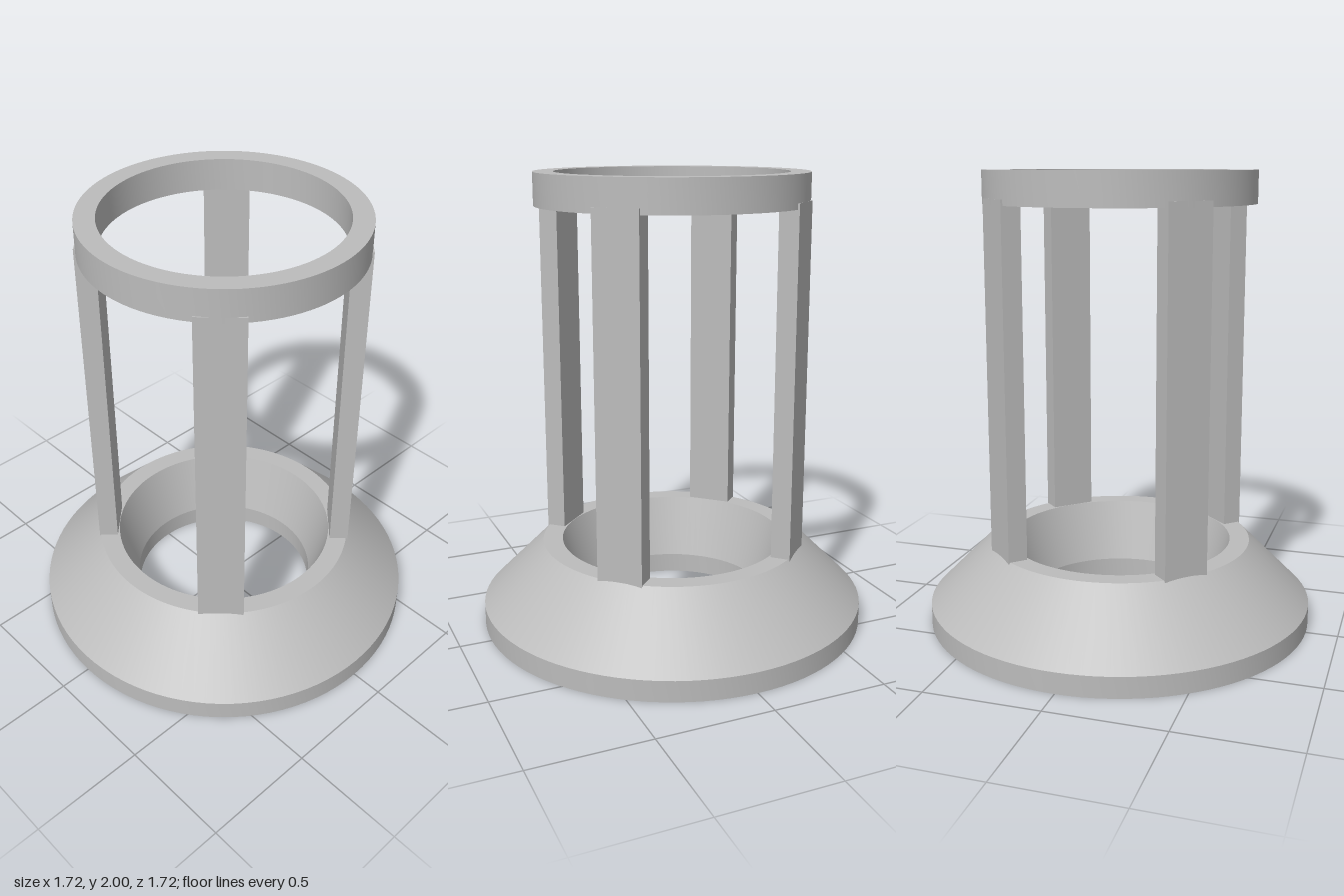
import * as THREE from 'three';
import { toCreasedNormals } from 'three/addons/utils/BufferGeometryUtils.js';

const grey = new THREE.MeshStandardMaterial({ color: 0xbcbcbc });
grey.name = 'plain grey';

// Revolve a closed (radius, height) profile, keeping its corners sharp
function turned(name, profile) {
  const points = [...profile, profile[0]].map(([r, y]) => new THREE.Vector2(r, y));
  const mesh = new THREE.Mesh(toCreasedNormals(new THREE.LatheGeometry(points, 96), 0.2), grey);
  mesh.name = name;
  return mesh;
}

export function createModel() {
  const group = new THREE.Group();
  group.name = 'ringStand';

  // Flared base with a funnel-shaped bore ending in a short straight hole
  group.add(turned('base', [
    [0.417, 0], [0.86, 0], [0.86, 0.092], [0.587, 0.365], [0.5, 0.365], [0.417, 0.09],
  ]));

  // Top ring
  group.add(turned('topRing', [
    [0.5, 1.86], [0.587, 1.86], [0.587, 2], [0.5, 2],
  ]));

  // Four flat posts on the diagonals, sunk slightly into the base and ring
  const bottom = 0.345, top = 1.885;
  const postGeometry = new THREE.BoxGeometry(0.2, top - bottom, 0.085);
  postGeometry.translate(0, (top + bottom) / 2, 0.544);
  for (let i = 0; i < 4; i++) {
    const post = new THREE.Mesh(postGeometry, grey);
    post.name = `post${i + 1}`;
    post.rotation.y = Math.PI / 4 + i * Math.PI / 2;
    group.add(post);
  }
  return group;
}
